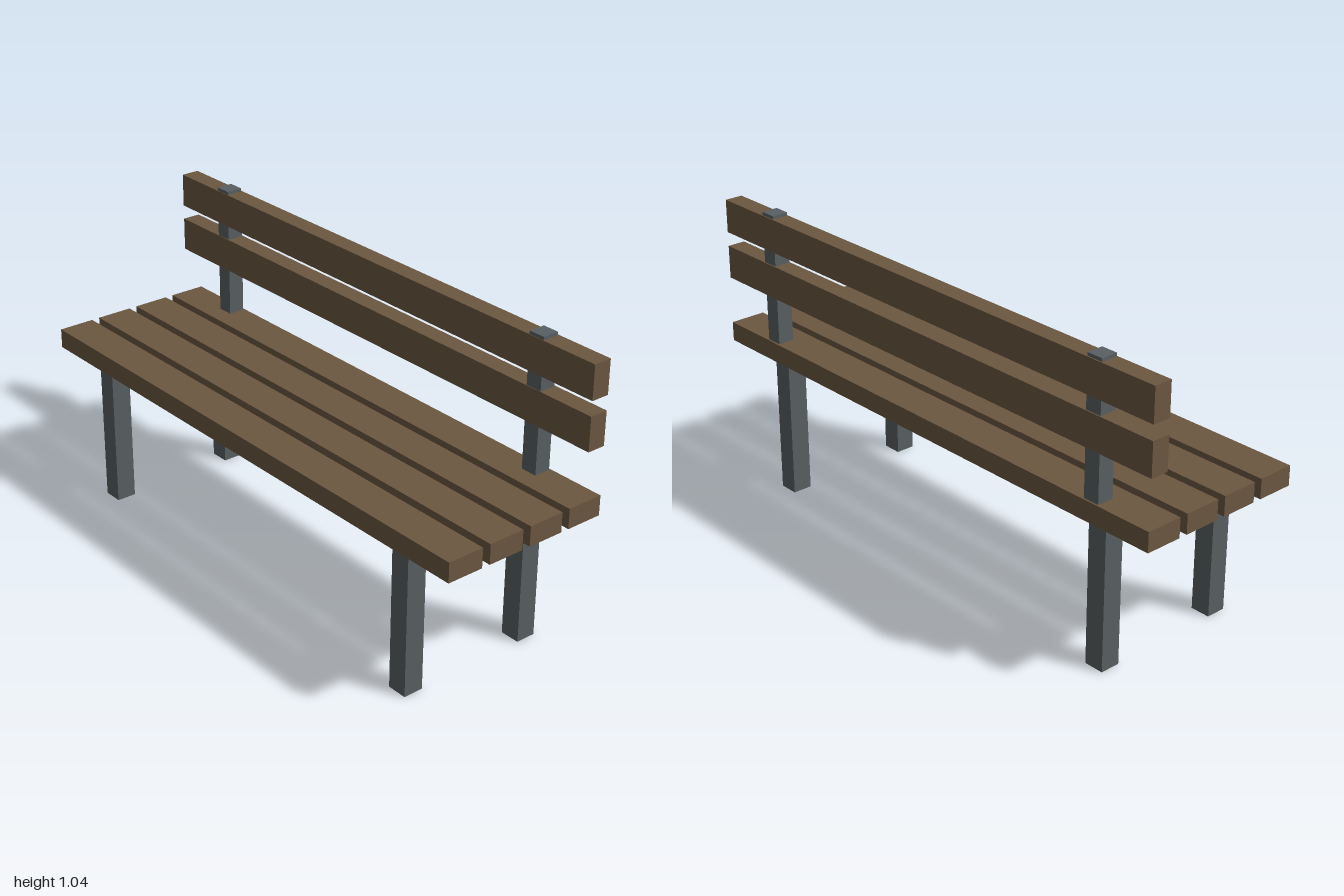
import * as THREE from 'three';

export function createModel() {
  const bench = new THREE.Group();
  bench.name = 'bench';
  const wood = new THREE.MeshStandardMaterial({ color: 0x6b5740 });
  const metal = new THREE.MeshStandardMaterial({ color: 0x585f62 });

  // Box placed by its bottom and top heights
  function bar(name, material, width, depth, bottom, top, x, z) {
    const mesh = new THREE.Mesh(new THREE.BoxGeometry(width, top - bottom, depth), material);
    mesh.position.set(x, (bottom + top) / 2, z);
    mesh.name = name;
    bench.add(mesh);
  }

  // Four seat planks with narrow gaps
  for (let i = 0; i < 4; i++) {
    bar(`seatPlank${i + 1}`, wood, 2, 0.129, 0.509, 0.577, 0, 0.238 - i * 0.1587);
  }

  // Two backrest planks
  bar('lowerBackPlank', wood, 2, 0.064, 0.743, 0.859, 0, -0.268);
  bar('upperBackPlank', wood, 2, 0.064, 0.909, 1.025, 0, -0.268);

  // Legs and backrest posts, mirrored left and right
  for (const [side, x] of [['left', 0.765], ['right', -0.765]]) {
    bar(`${side}FrontLeg`, metal, 0.07, 0.07, 0, 0.512, x, 0.239);
    bar(`${side}BackLeg`, metal, 0.07, 0.07, 0, 0.512, x, -0.232);
    bar(`${side}BackPost`, metal, 0.058, 0.058, 0.56, 1.036, x, -0.267);
  }

  return bench;
}
